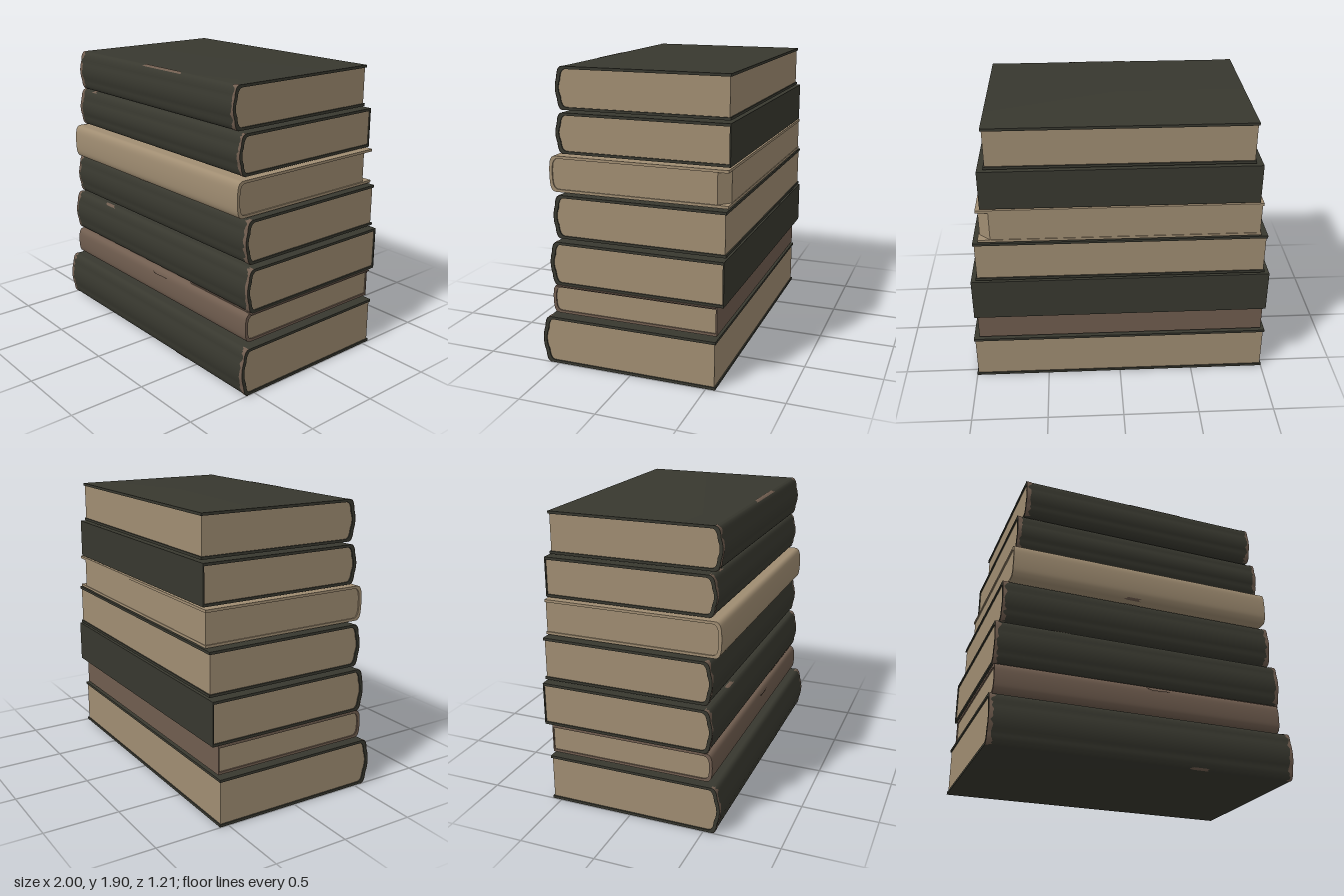
import * as THREE from 'three';
import { toCreasedNormals } from 'three/addons/utils/BufferGeometryUtils.js';

const material = (name, color, side = THREE.FrontSide) => {
  const m = new THREE.MeshStandardMaterial({ color, side });
  m.name = name;
  return m;
};

// small seeded generator for the ragged wear
let seed = 7;
const rand = () => {
  seed = (seed * 16807) % 2147483647;
  return seed / 2147483647;
};

// rounded spine, from the lower cover round to the upper cover, in (z, y)
function spinePoints(zf, y0, y1, bulge) {
  const h = y1 - y0, r = Math.min(0.07, h * 0.28), m = (y0 + y1) / 2;
  const path = new THREE.CurvePath();
  const v = (a, b) => new THREE.Vector2(a, b);
  const s = zf - bulge;
  path.add(new THREE.QuadraticBezierCurve(v(s - 0.04, y0), v(s - 0.004, y0), v(s, y0 + r)));
  path.add(new THREE.QuadraticBezierCurve(v(s, y0 + r), v(zf + bulge, m), v(s, y1 - r)));
  path.add(new THREE.QuadraticBezierCurve(v(s, y1 - r), v(s - 0.004, y1), v(s - 0.04, y1)));
  return path.getPoints(8);
}

// extrude a (z, y) profile along x, from x0 to x1
function alongX(points, x0, x1) {
  const g = new THREE.ExtrudeGeometry(new THREE.Shape(points), { depth: x1 - x0, bevelEnabled: false });
  g.rotateY(-Math.PI / 2).translate(x1, 0, 0);
  return toCreasedNormals(g, 0.6);
}

// thin ragged skin over a run of spine points, between left(i) and right(i)
function skin(points, left, right) {
  const pos = [], index = [];
  points.forEach((p, i) => {
    pos.push(left(i), p.y, p.x, right(i), p.y, p.x);
    if (i) {
      const a = 2 * i - 2;
      index.push(a, a + 1, a + 3, a, a + 3, a + 2);
    }
  });
  const g = new THREE.BufferGeometry();
  g.setAttribute('position', new THREE.Float32BufferAttribute(pos, 3));
  g.setIndex(index);
  g.computeVertexNormals();
  return g;
}

export function createModel() {
  const dark = material('dark cover', 0x38382f);
  const tan = material('tan paper', 0xa08d72);
  const brown = material('brown leather', 0x705d4f);
  const wear = material('worn brown', 0x705d4f, THREE.DoubleSide);

  const model = new THREE.Group();
  model.name = 'bookStack';

  const add = (parent, name, geometry, mat) => {
    const mesh = new THREE.Mesh(geometry, mat);
    mesh.name = name;
    parent.add(mesh);
    return mesh;
  };

  // bottom to top; scuffs are [x start, x end, on upper edge]
  const books = [
    { y: [0, 0.315], x: [-1, 1], z: [-0.56, 0.605], cover: dark, bulge: 0.016, scuffs: [[0.3, 0.42, 0]] },
    { y: [0.335, 0.525], x: [-0.97, 0.96], z: [-0.555, 0.545], cover: brown, back: brown, bulge: 0.002, scuffs: [] },
    { y: [0.53, 0.815], x: [-0.98, 0.975], z: [-0.6, 0.545], cover: dark, back: dark, bulge: 0.012, scuffs: [[-0.6, -0.5, 1]] },
    { y: [0.83, 1.11], x: [-0.945, 0.94], z: [-0.6, 0.53], cover: dark, bulge: 0.012, scuffs: [[-0.12, -0.02, 1]] },
    { y: [1.12, 1.35], x: [-0.9, 0.905], z: [-0.6, 0.57], cover: tan, bulge: 0.002, cutCorner: true, scuffs: [[-0.13, -0.02, 0]] },
    { y: [1.36, 1.617], x: [-0.875, 0.875], z: [-0.6, 0.53], cover: dark, back: dark, bulge: 0.012, scuffs: [[-0.76, -0.7, 1]] },
    { y: [1.627, 1.895], x: [-0.83, 0.833], z: [-0.585, 0.545], cover: dark, bulge: 0.012, scuffs: [[-0.1, 0.3, 1]] },
  ];

  books.forEach((b, n) => {
    const book = new THREE.Group();
    book.name = `book${n + 1}`;
    model.add(book);
    const [y0, y1] = b.y, [x0, x1] = b.x, [zb, zf] = b.z;
    const t = 0.017, v = (a, c) => new THREE.Vector2(a, c);

    // cover: two boards joined by the spine
    const outer = spinePoints(zf, y0, y1, b.bulge);
    const inner = spinePoints(zf - 0.02, y0 + t, y1 - t, b.bulge);
    add(book, 'cover', alongX([
      v(zb, y0), ...outer, v(zb, y1), v(zb, y1 - t), ...inner.slice().reverse(), v(zb, y0 + t),
    ], x0, x1), b.cover);

    // page block between the boards
    const pageBack = zb + (b.cutCorner ? 0.07 : 0.008);
    add(book, 'pages', alongX([v(pageBack, y0 + t), ...inner, v(pageBack, y1 - t)], x0 + 0.008, x1 - 0.008), tan);

    // cut rear corner of the page block
    if (b.cutCorner) {
      const plan = new THREE.Shape([
        v(x0 + 0.008, -pageBack), v(x1 - 0.008, -pageBack), v(x1 - 0.08, -zb - 0.004), v(x0 + 0.008, -zb - 0.004),
      ]);
      const g = new THREE.ExtrudeGeometry(plan, { depth: y1 - y0 - 2 * t, bevelEnabled: false });
      add(book, 'pageCorner', g.rotateX(-Math.PI / 2).translate(0, y0 + t, 0), tan);
    }

    // closed back edge
    if (b.back) {
      const plate = new THREE.BoxGeometry(x1 - x0, y1 - y0 - 2 * t, 0.008);
      add(book, 'backEdge', plate.translate((x0 + x1) / 2, (y0 + y1) / 2, zb + 0.004), b.back);
    }

    // worn spine ends and scuffed edges
    const lifted = spinePoints(zf + 0.002, y0 - 0.0015, y1 + 0.0015, b.bulge);
    if (b.cover === dark) {
      for (const side of [-1, 1]) {
        const end = side < 0 ? x0 - 0.001 : x1 + 0.001;
        const widths = lifted.map((p, i) => {
          const corner = Math.abs(i / (lifted.length - 1) - 0.5) * 2;
          return 0.008 + rand() * 0.022 + (rand() > 0.45 ? 0.02 * corner : 0);
        });
        const inside = (i) => end - side * widths[i];
        add(book, 'spineWear', side < 0 ? skin(lifted, () => end, inside) : skin(lifted, inside, () => end), wear);
      }
    }
    for (const [a, c, upper] of b.scuffs) {
      const run = upper ? lifted.slice(-4) : lifted.slice(0, 4);
      const ragged = (x) => () => x + (rand() - 0.5) * 0.04;
      add(book, 'edgeScuff', skin(run, ragged(a), ragged(c)), wear);
    }
  });

  // chip in the brown spine and its loose top board edge
  const chip = new THREE.Shape([[0, 0.505], [0.05, 0.492], [0.17, 0.497], [0.14, 0.486], [0.04, 0.482]]
    .reverse().map(([a, c]) => new THREE.Vector2(a, c)));
  add(model, 'spineChip', new THREE.ShapeGeometry(chip).translate(0, 0, 0.547), wear);
  add(model, 'looseBoard', new THREE.BoxGeometry(0.6, 0.008, 1.06).translate(0.68, 0.524, -0.02), brown);

  return model;
}
